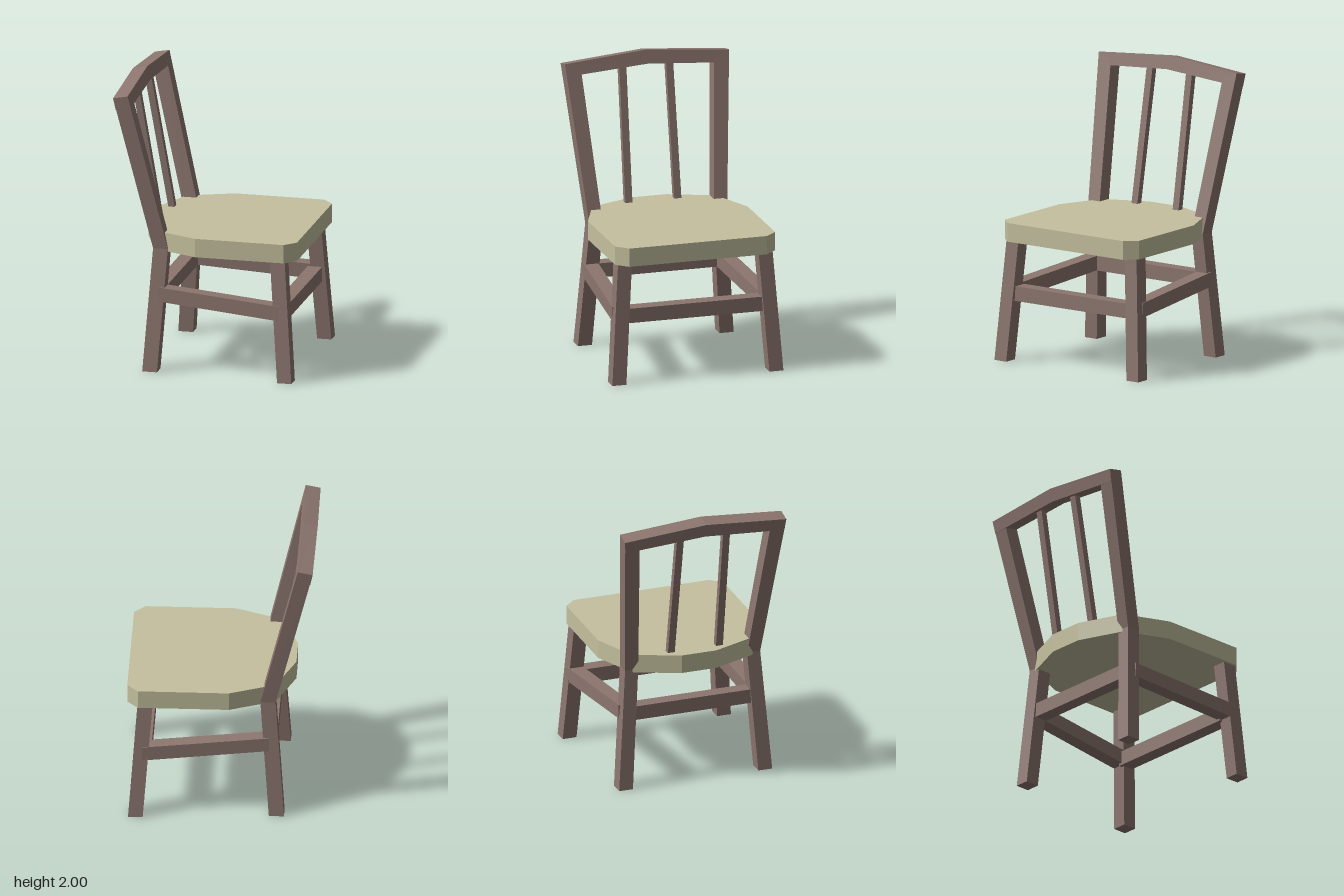
import * as THREE from 'three';

const wood = new THREE.MeshStandardMaterial({ color: 0x8d766f, flatShading: true });
const cushion = new THREE.MeshStandardMaterial({ color: 0xc4c09e, flatShading: true });

// Closed beam through a list of four-cornered sections
function beam(name, sections) {
  const tris = [];
  const quad = (a, b, c, d) => tris.push([a, b, c], [a, c, d]);
  for (let s = 0; s < sections.length - 1; s++) {
    const p = sections[s], q = sections[s + 1];
    for (let i = 0; i < 4; i++) {
      const j = (i + 1) % 4;
      quad(p[i], p[j], q[j], q[i]);
    }
  }
  const first = sections[0], last = sections[sections.length - 1];
  quad(first[3], first[2], first[1], first[0]);
  quad(...last);
  // The sign of the volume tells whether the faces point outwards
  const v = (a) => new THREE.Vector3(...a);
  const volume = tris.reduce((sum, [a, b, c]) => sum + v(a).dot(v(b).cross(v(c))), 0);
  if (volume < 0) tris.forEach((t) => t.reverse());
  const geometry = new THREE.BufferGeometry();
  geometry.setAttribute('position', new THREE.Float32BufferAttribute(tris.flat(2), 3));
  geometry.computeVertexNormals();
  const mesh = new THREE.Mesh(geometry, wood);
  mesh.name = name;
  return mesh;
}

// Section across an upright beam; yBack and yFront allow a tilted cut
const level = (xBack, xFront, zIn, zOut, yBack, yFront = yBack) => [
  [xBack, yBack, zIn], [xFront, yFront, zIn], [xFront, yFront, zOut], [xBack, yBack, zOut],
];
// Section across a beam running along x
const acrossX = (x, y0, y1, z0, z1) => [[x, y0, z0], [x, y1, z0], [x, y1, z1], [x, y0, z1]];
// Section across a beam running along z
const acrossZ = (z, y0, y1, x0, x1) => [[x0, y0, z], [x1, y0, z], [x1, y1, z], [x0, y1, z]];

export function createModel() {
  const chair = new THREE.Group();
  chair.name = 'chair';

  // Seat: faceted outline, extruded upwards
  const half = [[0.635, 0.49], [0.56, 0.57], [-0.06, 0.57], [-0.374, 0.44], [-0.5, 0.125]];
  const outline = [...half, ...half.map(([x, z]) => [x, -z]).reverse()];
  const seatGeometry = new THREE.ExtrudeGeometry(
    new THREE.Shape(outline.map(([x, z]) => new THREE.Vector2(x, z))),
    { depth: 0.13, bevelEnabled: false },
  );
  seatGeometry.rotateX(-Math.PI / 2);
  const seat = new THREE.Mesh(seatGeometry, cushion);
  seat.name = 'seat';
  seat.position.y = 0.84;
  chair.add(seat);

  for (const s of [1, -1]) {
    const side = s > 0 ? 'Left' : 'Right';

    // Splayed front leg
    chair.add(beam('frontLeg' + side, [
      level(0.525, 0.625, s * 0.51, s * 0.61, 0),
      level(0.46, 0.563, s * 0.45, s * 0.55, 0.86),
    ]));

    // Back leg, bent at the seat and continuing as the back post
    chair.add(beam('backLegAndPost' + side, [
      level(-0.435, -0.332, s * 0.455, s * 0.555, 0),
      level(-0.375, -0.271, s * 0.395, s * 0.49, 0.86),
      level(-0.632, -0.53, s * 0.478, s * 0.585, 1.93, 1.95),
    ]));

    // Side stretcher, sloping down to the front
    chair.add(beam('sideStretcher' + side, [
      acrossX(-0.33, 0.492, 0.592, s * 0.42, s * 0.52),
      acrossX(0.53, 0.43, 0.532, s * 0.48, s * 0.581),
    ]));

    // Back slat
    chair.add(beam('backSlat' + side, [
      level(-0.42, -0.376, s * 0.15, s * 0.2, 0.92),
      level(-0.594, -0.549, s * 0.142, s * 0.192, 1.9),
    ]));
  }

  // Front and back stretchers
  chair.add(beam('frontStretcher', [-0.5, 0.5].map((z) => acrossZ(z, 0.418, 0.52, 0.468, 0.568))));
  chair.add(beam('backStretcher', [-0.45, 0.45].map((z) => acrossZ(z, 0.488, 0.588, -0.385, -0.29))));

  // Top rail, peaked in the middle
  const railEnd = (s) => [
    [-0.615, 1.845, s * 0.577], [-0.511, 1.865, s * 0.577],
    [-0.53, 1.95, s * 0.585], [-0.632, 1.93, s * 0.585],
  ];
  const railPeak = [[-0.622, 1.885, 0], [-0.517, 1.905, 0], [-0.538, 2, 0], [-0.64, 1.978, 0]];
  chair.add(beam('topRail', [railEnd(-1), railPeak, railEnd(1)]));

  return chair;
}
